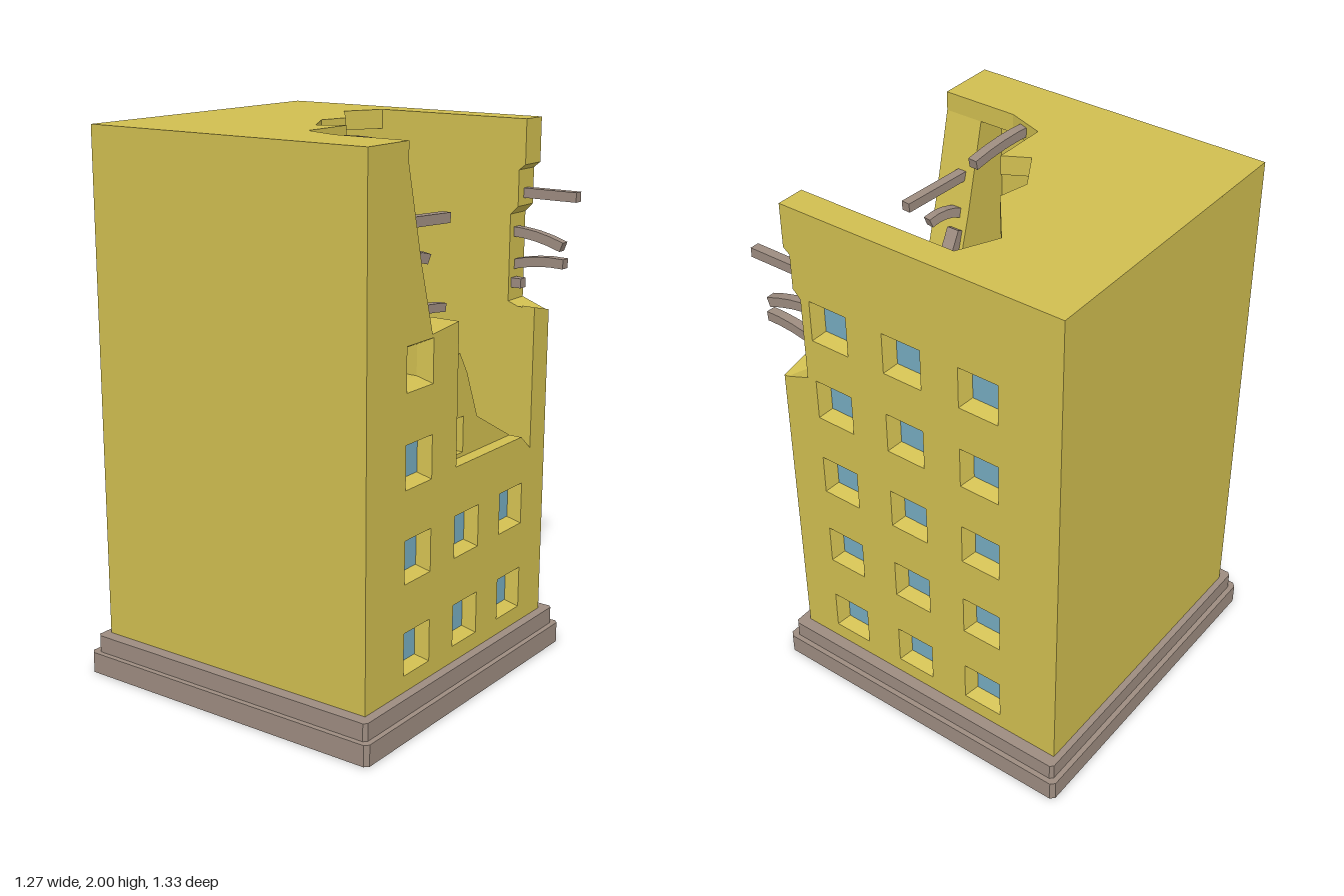
import * as THREE from 'three';

const mat = (name, color, opts = {}) => {
  const m = new THREE.MeshStandardMaterial({ color, ...opts });
  m.name = name;
  return m;
};

export function createModel() {
  const root = new THREE.Group();
  root.name = 'ruinedBuilding';
  const wall = mat('ochreWall', 0xd0be50);
  const reveal = mat('ochreReveal', 0xd0be50, { side: THREE.DoubleSide, flatShading: true });
  const stone = mat('greyStone', 0x9d8c80, { flatShading: true });
  const glass = mat('blueGlass', 0x76abc0);

  const add = (name, geo, material, parent = root) => {
    const m = new THREE.Mesh(geo, material);
    m.name = name;
    parent.add(m);
    return m;
  };
  const box = (name, x0, x1, y0, y1, z0, z1, material) => {
    const g = new THREE.BoxGeometry(x1 - x0, y1 - y0, z1 - z0);
    g.translate((x0 + x1) / 2, (y0 + y1) / 2, (z0 + z1) / 2);
    return add(name, g, material);
  };
  const poly = (pts) => pts.map(([x, y]) => new THREE.Vector2(x, y));
  const square = (x, y, w, h) => [[x - w / 2, y - h / 2], [x - w / 2, y + h / 2], [x + w / 2, y + h / 2], [x + w / 2, y - h / 2]];
  const extrude = (pts, depth, holes = []) => {
    const s = new THREE.Shape(poly(pts));
    holes.forEach((h) => s.holes.push(new THREE.Path(poly(h))));
    return new THREE.ExtrudeGeometry(s, { depth, bevelEnabled: false });
  };
  // Plan shapes are given as [x, z] and rise from y
  const plan = (pts, y, height, holes = []) => {
    const flip = (l) => l.map(([x, z]) => [x, -z]);
    return extrude(flip(pts), height, holes.map(flip)).rotateX(-Math.PI / 2).translate(0, y, 0);
  };

  // Window openings
  const W = 0.155, D = 0.05;
  const cols = [-0.27, 0.035, 0.335], rows = [0.28, 0.61, 0.94, 1.27, 1.59];
  const addWindow = (parent, u, y, outer, glazed = true) => {
    const g = new THREE.CylinderGeometry(W / Math.SQRT2, 0.107 / Math.SQRT2, D, 4, 1, true);
    g.rotateY(Math.PI / 4).rotateX(Math.PI / 2);
    add('windowReveal', g, reveal, parent).position.set(u, y, outer - D / 2);
    if (glazed) add('windowGlass', new THREE.BoxGeometry(0.108, 0.108, 0.006), glass, parent).position.set(u, y, outer - D + 0.003);
  };

  // Stepped plinth with an open middle
  const rim = (w, z0, z1, c) => [[-w + c, z0], [w - c, z0], [w, z0 + c], [w, z1 - c], [w - c, z1], [-w + c, z1], [-w, z1 - c], [-w, z0 + c]];
  const opening = [[-0.56, -0.61], [-0.56, 0.52], [0.56, 0.52], [0.56, -0.61]];
  add('plinthLower', plan(rim(0.635, -0.665, 0.585, 0.015), 0, 0.078, [opening]), stone);
  add('plinthUpper', plan(rim(0.615, -0.645, 0.565, 0.012), 0.078, 0.064, [opening]), stone);
  box('groundFloor', -0.48, 0.48, 0.13, 0.19, -0.53, 0.39, stone);

  // Plain back and left walls
  box('backWall', -0.57, 0.57, 0.03, 1.998, -0.62, -0.52, wall);
  box('sideWall', -0.57, -0.47, 0.03, 1.998, -0.55, 0.525, wall);

  // Front wall: outer skin with window holes, inner layer with a ragged edge
  const frontWins = [];
  rows.slice(0, 4).forEach((y, r) => cols.forEach((x, c) => {
    if (r < 2 || c === 0) frontWins.push([x, y, r < 3]);
  }));
  const leftBreak = [[-0.04, 1.375], [-0.2, 1.36], [-0.27, 1.6], [-0.35, 1.93], [-0.35, 2]];
  add('frontSkin', extrude([
    [-0.57, 0.03], [0.57, 0.03], [0.57, 1.31], [0.465, 1.335], [0.465, 0.81], [0.4, 0.865], [-0.04, 0.865],
    ...leftBreak, [-0.57, 2],
  ], D, frontWins.map(([x, y]) => square(x, y, W, W))).translate(0, 0, 0.48), wall);
  add('frontInnerLayer', extrude([
    [-0.56, 0.03], [0.56, 0.03], [0.56, 1.3], [0.465, 1.33], [0.465, 0.81], [0.4, 0.865], [0.17, 0.99], [0.1, 1.16],
    [0.05, 1.24], [-0.04, 1.21], ...leftBreak, [-0.56, 2],
  ], 0.1, [square(-0.27, 1.27, 0.107, 0.107), square(0.03, 0.945, 0.1, 0.13)]).translate(0, 0, 0.38), wall);
  const frontWindows = new THREE.Group();
  frontWindows.name = 'frontWindows';
  root.add(frontWindows);
  frontWins.forEach(([x, y, g]) => addWindow(frontWindows, x, y, 0.53, g));

  // Right-hand wall with a chipped front edge, shape drawn in [-z, y]
  const side = new THREE.Group();
  side.name = 'windowedSideWall';
  side.rotation.y = Math.PI / 2;
  root.add(side);
  const edge = [
    [0.62, 0.03], [0.62, 2], [-0.475, 2], [-0.475, 1.84], [-0.45, 1.82], [-0.45, 1.69], [-0.42, 1.66],
    [-0.42, 1.345], [-0.515, 1.31], [-0.525, 1.2], [-0.525, 0.03],
  ];
  const sideCols = [-0.305, 0, 0.305];
  const sideWins = rows.flatMap((y) => sideCols.map((u) => [u, y]));
  add('sideSkin', extrude(edge, D, sideWins.map(([u, y]) => square(u, y, W, W))).translate(0, 0, 0.52), wall, side);
  add('sideInnerLayer', extrude(edge, 0.055).translate(0, 0, 0.465), wall, side);
  sideWins.forEach(([u, y]) => addWindow(side, u, y, 0.57));

  // Roof with a large broken-out opening
  add('roof', plan([
    [-0.57, -0.62], [0.57, -0.62], [0.57, 0.47], [0.465, 0.47], [0.465, -0.14], [0.32, -0.21], [0.12, -0.055],
    [0.01, -0.08], [-0.14, 0.01], [-0.09, 0.1], [-0.3, 0.1], [-0.35, 0.24], [-0.35, 0.53], [-0.57, 0.53],
  ], 1.93, 0.07), wall);

  // Collapsed upper floor, sagging toward the right
  const slab = plan([
    [-0.5, -0.55], [0.5, -0.55], [0.5, -0.13], [0.43, -0.13], [0.34, -0.08], [0.22, -0.08], [0.12, -0.06],
    [0.03, -0.04], [0.01, 0.05], [-0.13, 0.02], [-0.26, 0.1], [-0.3, 0.37], [-0.5, 0.4],
  ], 0, 0.11);
  const sp = slab.attributes.position;
  for (let i = 0; i < sp.count; i++) sp.setY(i, sp.getY(i) + 1.08 - 0.33 * sp.getX(i));
  slab.computeVertexNormals();
  add('collapsedFloor', slab, stone);

  // Rubble mounds, roughened by a position rule
  const mound = (x, y, z, rx, ry, rz, lean) => {
    const g = new THREE.IcosahedronGeometry(1, 2);
    const p = g.attributes.position;
    for (let i = 0; i < p.count; i++) {
      const [a, b, c] = [p.getX(i), p.getY(i), p.getZ(i)];
      const k = 1 + 0.07 * Math.sin(5 * a + 3 * b) * Math.cos(4 * c - 2 * b);
      p.setXYZ(i, a * rx * k + lean * b, b * ry * k, c * rz * k);
    }
    g.computeVertexNormals();
    add('rubbleMound', g, stone).position.set(x, y, z);
  };
  mound(0.32, 1.21, -0.29, 0.18, 0.28, 0.17, 0.04);
  mound(-0.35, 1.36, -0.41, 0.18, 0.22, 0.16, -0.02);

  // Bent beams poking out of the broken edges
  const beam = (a, b, drop, w = 0.035) => {
    const A = new THREE.Vector3(...a), B = new THREE.Vector3(...b);
    const mid = A.clone().lerp(B, 0.5);
    mid.y += drop;
    const curve = new THREE.QuadraticBezierCurve3(A, mid, B);
    const s = new THREE.Shape(poly(square(0, 0, w, w)));
    add('brokenBeam', new THREE.ExtrudeGeometry(s, { steps: 4, extrudePath: curve, bevelEnabled: false }), stone);
  };
  beam([-0.36, 1.965, 0.18], [-0.07, 1.945, 0.2], 0.02);
  beam([-0.33, 1.725, 0.43], [-0.02, 1.715, 0.46], 0);
  beam([-0.28, 1.585, 0.43], [-0.14, 1.595, 0.46], 0.03);
  beam([-0.25, 1.53, 0.42], [-0.15, 1.37, 0.42], -0.02, 0.05);
  beam([-0.21, 1.42, 0.44], [-0.02, 1.41, 0.45], 0.01, 0.03);
  beam([0.52, 1.735, 0.42], [0.52, 1.735, 0.66], 0);
  beam([0.51, 1.595, 0.4], [0.515, 1.555, 0.61], 0.02);
  beam([0.52, 1.47, 0.4], [0.515, 1.495, 0.62], 0.02);
  beam([0.5, 1.41, 0.4], [0.5, 1.41, 0.46], 0);
  box('glassShard', -0.21, -0.13, 1.405, 1.425, 0.462, 0.468, glass);

  return root;
}
